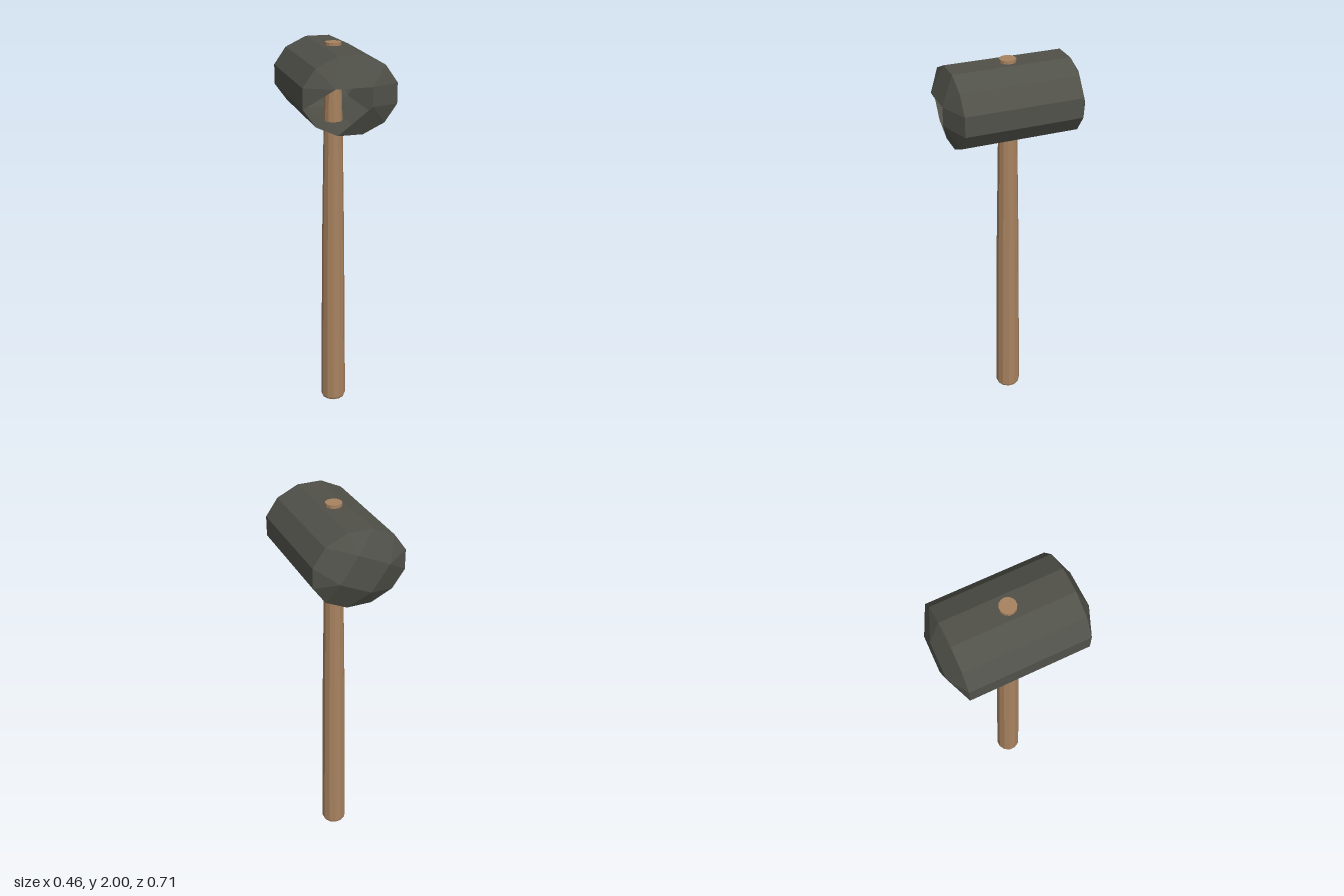
import * as THREE from 'three';

const CENTRE_Y = 1.796, RIM_Z = 0.295, CAP_Z = 0.355;

// Point on the twelve-sided head outline; i steps by 30 degrees from 15
function rim(i, z, scale = 1) {
  const a = THREE.MathUtils.degToRad(15 + 30 * i);
  return [0.24 * scale * Math.cos(a), CENTRE_Y + 0.195 * scale * Math.sin(a), z];
}

// Flat-shaded mesh from convex polygons, each split as a fan
function polygonMesh(name, polygons, material) {
  const positions = [];
  for (const p of polygons) {
    for (let k = 1; k < p.length - 1; k++) positions.push(...p[0], ...p[k], ...p[k + 1]);
  }
  const geometry = new THREE.BufferGeometry();
  geometry.setAttribute('position', new THREE.Float32BufferAttribute(positions, 3));
  geometry.computeVertexNormals();
  const mesh = new THREE.Mesh(geometry, material);
  mesh.name = name;
  return mesh;
}

export function createModel() {
  const model = new THREE.Group();
  model.name = 'mallet';

  const wood = new THREE.MeshStandardMaterial({ color: 0xa8825f, flatShading: true });
  wood.name = 'wood';
  const iron = new THREE.MeshStandardMaterial({ color: 0x505149, flatShading: true, side: THREE.DoubleSide });
  iron.name = 'dark iron';

  // Tapered handle running right through the head
  const profile = [
    [0, 0], [0.062, 0], [0.067, 0.012], [0.066, 0.2], [0.058, 1.0],
    [0.049, 1.55], [0.042, 1.8], [0.041, 2], [0, 2],
  ].map(([r, y]) => new THREE.Vector2(r, y));
  const handle = new THREE.Mesh(new THREE.LatheGeometry(profile, 12, Math.PI / 12), wood);
  handle.name = 'handle';
  model.add(handle);

  const head = new THREE.Group();
  head.name = 'head';
  model.add(head);

  // Twelve-sided barrel
  const walls = [];
  for (let i = 0; i < 12; i++) {
    walls.push([rim(i, RIM_Z), rim(i, -RIM_Z), rim(i + 1, -RIM_Z), rim(i + 1, RIM_Z)]);
  }
  head.add(polygonMesh('barrel', walls, iron));

  // Closed back end: a turned square joined to the rim
  const back = [];
  const square = [2, 5, 8, 11].map((i) => rim(i, -CAP_Z, 0.53));
  back.push([...square].reverse());
  for (let k = 0; k < 4; k++) {
    const corner = square[k], i = 2 + 3 * k;
    const r = [-1, 0, 1, 2].map((d) => rim(i + d, -RIM_Z));
    back.push([corner, r[1], r[0]], [corner, r[2], r[1]]);
    back.push([corner, square[(k + 1) % 4], r[3], r[2]]);
  }
  head.add(polygonMesh('backEnd', back, iron));

  // Broken front end: open in the middle and at the lower right-hand corner
  const upperLeft = [0.09, CENTRE_Y + 0.049, CAP_Z];
  const upperRight = [-0.09, CENTRE_Y + 0.049, CAP_Z];
  const lowerLeft = [0.09, CENTRE_Y - 0.044, CAP_Z];
  const front = [
    [upperRight, upperLeft, rim(2, RIM_Z), rim(3, RIM_Z)],
    [upperLeft, lowerLeft, rim(11, RIM_Z), rim(0, RIM_Z)],
  ];
  const fan = (corner, from, to) => {
    for (let i = from; i < to; i++) front.push([corner, rim(i, RIM_Z), rim(i + 1, RIM_Z)]);
  };
  fan(upperLeft, 0, 2);
  fan(upperRight, 3, 6);
  fan(lowerLeft, 8, 11);
  head.add(polygonMesh('frontEnd', front, iron));

  return model;
}
